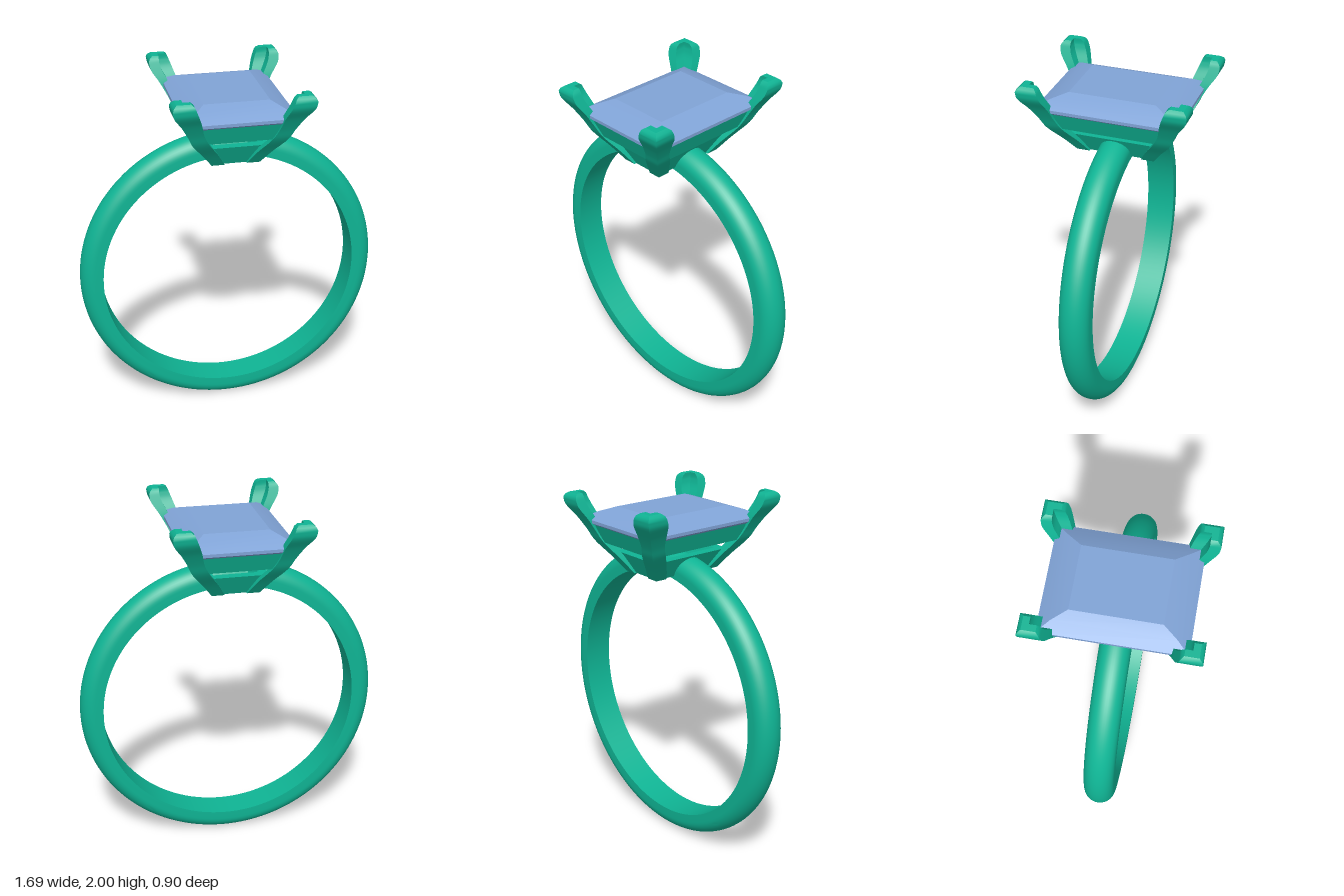
import * as THREE from 'three';
import { toCreasedNormals } from 'three/addons/utils/BufferGeometryUtils.js';

const metal = new THREE.MeshStandardMaterial({ color: 0x0fb494 });
const stone = new THREE.MeshStandardMaterial({ color: 0x80a3d6 });

// Skins a stack of equal-length loops (counter-clockwise from above, bottom to top).
function loft(loops, capped, crease) {
  const n = loops[0].length;
  const index = [];
  for (let i = 0; i < loops.length - 1; i++) {
    for (let j = 0; j < n; j++) {
      const a = i * n + j, b = i * n + (j + 1) % n;
      index.push(a, b, b + n, a, b + n, a + n);
    }
  }
  if (capped) {
    const top = (loops.length - 1) * n;
    for (let j = 1; j < n - 1; j++) {
      index.push(0, j + 1, j, top, top + j, top + j + 1);
    }
  }
  const g = new THREE.BufferGeometry();
  g.setAttribute('position', new THREE.Float32BufferAttribute(loops.flat(2), 3));
  g.setIndex(index);
  return toCreasedNormals(g, crease);
}

// Rectangular loop from half width, half depth and height.
const rect = ([x, z, y]) => [[x, y, z], [x, y, -z], [-x, y, -z], [-x, y, z]];

// Hollow rectangular rail whose walls lean outwards.
function frame(x0, z0, y0, x1, z1, y1, t) {
  const rows = [
    [x0, z0, y0], [x1, z1, y1],
    [x1 - t, z1 - t, y1], [x0 - t, z0 - t, y0], [x0, z0, y0],
  ];
  return loft(rows.map(rect), false, 0.3);
}

// Claw with an L-shaped section, notched on the side that holds the stone.
function prongGeometry(sx, sz) {
  const path = new THREE.CatmullRomCurve3([
    // inner x, height, outer x
    [0.06, 1.57, 0.13], [0.105, 1.65, 0.185], [0.165, 1.74, 0.252],
    [0.195, 1.80, 0.28], [0.213, 1.87, 0.318], [0.236, 1.935, 0.36],
    [0.25, 1.972, 0.367],
  ].map((p) => new THREE.Vector3(...p)));
  const rows = path.getPoints(24).map((p) => [p.x, p.y, p.z]);
  rows.push([0.257, 1.988, 0.36], [0.272, 2.0, 0.345]); // rounded tip
  const dz = 0.084;
  const loops = rows.map(([i, y, o]) => {
    const m = o - (o - i) * 0.48;
    const pts = [[o, o], [o, i], [m, i], [m, m], [i, m], [i, o]]
      .map(([x, z]) => [sx * x, y, sz * (z + dz)]);
    return sx * sz < 0 ? pts.reverse() : pts;
  });
  // keep the outer corner first so the caps fan cleanly
  if (sx * sz < 0) loops.forEach((l) => l.unshift(l.pop()));
  return loft(loops, true, 0.6);
}

// Band section: flat inside, short sides, domed outside.
function bandGeometry() {
  const inner = 0.72, shoulder = 0.765, outer = 0.843, w = 0.083;
  const pts = [new THREE.Vector2(inner, -w)];
  for (let i = 0; i <= 20; i++) {
    const a = -Math.PI / 2 + Math.PI * i / 20;
    pts.push(new THREE.Vector2(shoulder + (outer - shoulder) * Math.cos(a), w * Math.sin(a)));
  }
  pts.push(new THREE.Vector2(inner, w), new THREE.Vector2(inner, -w));
  const g = new THREE.LatheGeometry(pts, 128);
  g.rotateX(Math.PI / 2);
  g.translate(0, outer, 0);
  return toCreasedNormals(g, 0.7);
}

export function createModel() {
  const model = new THREE.Group();
  model.name = 'ring';
  const add = (name, geometry, material = metal) => {
    const mesh = new THREE.Mesh(geometry, material);
    mesh.name = name;
    model.add(mesh);
  };

  add('band', bandGeometry());

  // Setting: two rails joined by four claws
  add('lowerRail', frame(0.115, 0.2, 1.57, 0.17, 0.25, 1.68, 0.05));
  add('upperRail', frame(0.245, 0.33, 1.74, 0.28, 0.365, 1.84, 0.06));
  for (const sx of [1, -1]) {
    for (const sz of [1, -1]) {
      add(`${sz > 0 ? 'front' : 'back'}${sx > 0 ? 'Left' : 'Right'}Prong`, prongGeometry(sx, sz));
    }
  }

  // Step-cut stone: pavilion, girdle, crown and table
  const steps = [
    [0.055, 0.1, 1.68], [0.15, 0.225, 1.74], [0.235, 0.315, 1.8],
    [0.295, 0.38, 1.845], [0.295, 0.38, 1.862],
    [0.235, 0.315, 1.897], [0.175, 0.235, 1.922],
  ];
  add('gemstone', loft(steps.map(rect), true, 0.2), stone);

  return model;
}
